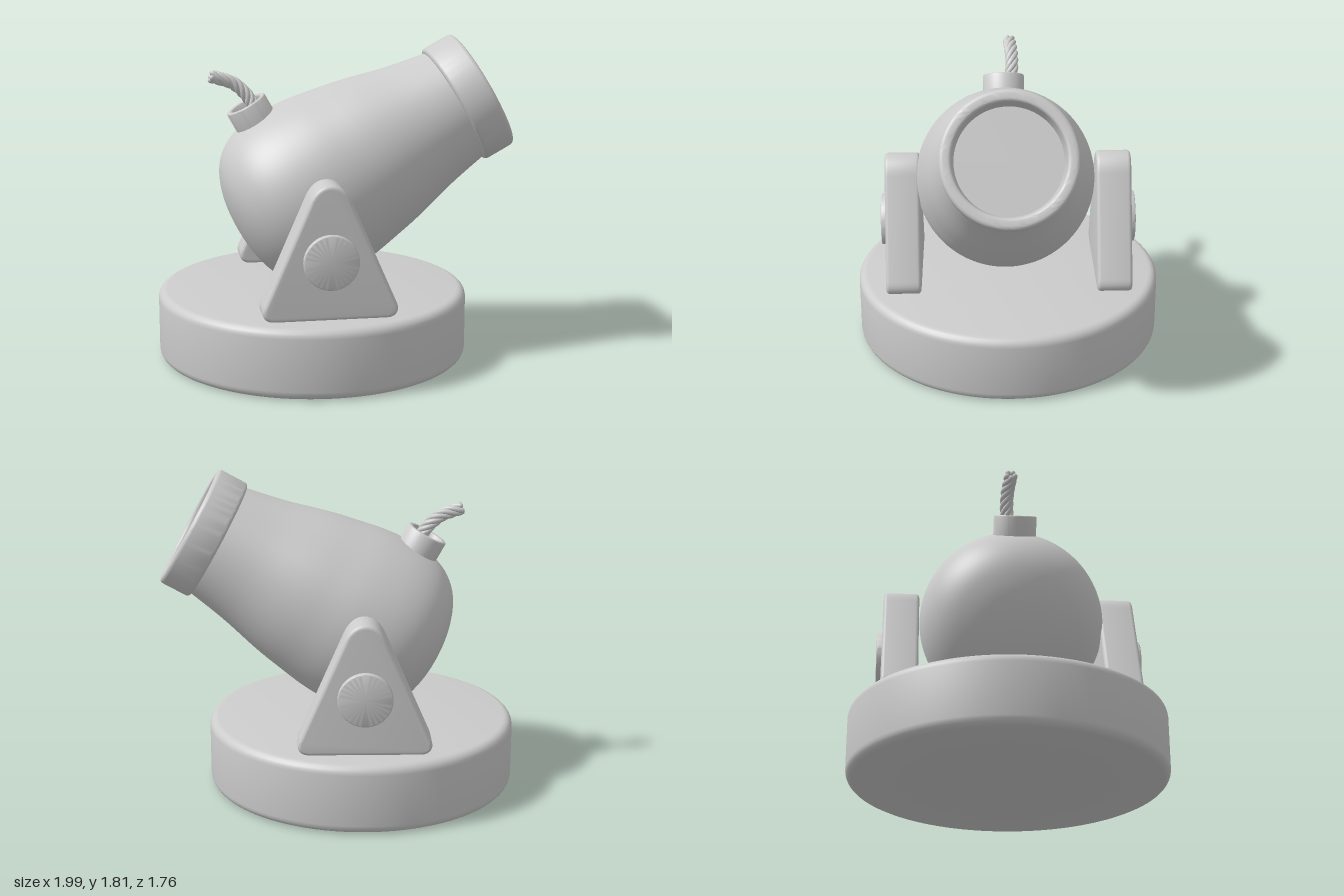
import * as THREE from 'three';
import { toCreasedNormals } from 'three/addons/utils/BufferGeometryUtils.js';

const YAW = -20 * Math.PI / 180;
const PITCH = 29.1 * Math.PI / 180;
const material = new THREE.MeshStandardMaterial({ color: 0xcccccc, roughness: 0.7 });

function addMesh(parent, name, geometry) {
  const mesh = new THREE.Mesh(geometry, material);
  mesh.name = name;
  parent.add(mesh);
  return mesh;
}

// Profile points on a quarter circle, for rounded edges
function corner(cx, cy, r, from, to, steps = 5) {
  return Array.from({ length: steps + 1 }, (_, i) => {
    const a = THREE.MathUtils.degToRad(from + (to - from) * i / steps);
    return [cx + r * Math.cos(a), cy + r * Math.sin(a)];
  });
}

function lathe(points, segments = 80) {
  const profile = points.map(([x, y]) => new THREE.Vector2(x, y));
  return toCreasedNormals(new THREE.LatheGeometry(profile, segments), 0.6);
}

// Round-cornered triangular plate, bevelled on both faces
function supportGeometry() {
  const s = new THREE.Shape();
  s.moveTo(-0.29, 0.405);
  s.lineTo(0.29, 0.405);
  s.quadraticCurveTo(0.368, 0.405, 0.335, 0.47);
  s.lineTo(0.095, 1.02);
  s.quadraticCurveTo(0.06, 1.1, 0, 1.1);
  s.quadraticCurveTo(-0.06, 1.1, -0.095, 1.02);
  s.lineTo(-0.335, 0.47);
  s.quadraticCurveTo(-0.368, 0.405, -0.29, 0.405);
  const g = new THREE.ExtrudeGeometry(s, {
    depth: 0.16, bevelSize: 0.02, bevelThickness: 0.02, bevelSegments: 4, curveSegments: 10,
  });
  g.translate(0, 0, -0.08);
  return toCreasedNormals(g, 0.6);
}

// One strand winding around a guide curve
class Strand extends THREE.Curve {
  constructor(guide, phase, offset, turns) {
    super();
    Object.assign(this, { guide, phase, offset, turns });
  }
  getPoint(t, target = new THREE.Vector3()) {
    const tangent = this.guide.getTangent(t);
    const u = new THREE.Vector3(0, 0, 1).cross(tangent).normalize();
    const v = new THREE.Vector3().crossVectors(tangent, u);
    const a = this.phase + t * this.turns * Math.PI * 2;
    return target.copy(this.guide.getPoint(t))
      .addScaledVector(u, this.offset * Math.cos(a))
      .addScaledVector(v, this.offset * Math.sin(a));
  }
}

export function createModel() {
  const model = new THREE.Group();
  model.name = 'mortarCannon';

  // Round base
  const base = addMesh(model, 'base', lathe([
    [0, 0], ...corner(0.83, 0.05, 0.05, -90, 0), ...corner(0.83, 0.34, 0.05, 0, 90), [0, 0.39],
  ], 112));
  base.position.x = -0.12;

  // Everything above the base is turned together
  const turret = new THREE.Group();
  turret.name = 'turret';
  turret.position.x = -0.12;
  turret.rotation.y = YAW;
  model.add(turret);

  // Mirrored supports with round bolt caps
  const plate = supportGeometry();
  const cap = lathe([[0.15, -0.05], ...corner(0.142, 0.022, 0.008, 0, 90, 4), [0, 0.03]], 56);
  for (const side of [1, -1]) {
    const label = side > 0 ? 'front' : 'back';
    addMesh(turret, label + 'Support', plate).position.z = side * 0.605;
    const bolt = addMesh(turret, label + 'BoltCap', cap);
    bolt.position.set(0, 0.71, side * 0.705);
    bolt.rotation.x = side * Math.PI / 2;
  }

  // Barrel group, with its axis along local y
  const barrel = new THREE.Group();
  barrel.name = 'barrelAssembly';
  barrel.position.set(0, 0.965, 0.015);
  barrel.rotation.z = PITCH - Math.PI / 2;
  turret.add(barrel);

  const outline = new THREE.SplineCurve([
    [0, -0.485], [0.13, -0.476], [0.25, -0.45], [0.36, -0.4], [0.44, -0.325], [0.493, -0.22],
    [0.515, -0.08], [0.508, 0.1], [0.478, 0.28], [0.444, 0.45], [0.38, 0.7], [0.332, 0.95],
  ].map(([x, y]) => new THREE.Vector2(x, y)));
  const body = outline.getPoints(60);
  body[0].x = 0;
  addMesh(barrel, 'barrel', new THREE.LatheGeometry(body, 96));

  // Muzzle ring with a shallow bore
  addMesh(barrel, 'muzzleRing', lathe([
    [0.3, 0.926], ...corner(0.337, 0.949, 0.023, -90, 0), ...corner(0.337, 1.093, 0.023, 0, 90),
    ...corner(0.313, 1.098, 0.018, 90, 180), [0.285, 0.985], [0, 0.985],
  ], 96));

  // Hollow fuse socket
  const socket = addMesh(barrel, 'fuseSocket', lathe([
    [0.12, 0.44], ...corner(0.112, 0.602, 0.008, 0, 90, 4),
    ...corner(0.098, 0.602, 0.008, 90, 180, 4), [0.09, 0.545], [0, 0.545],
  ], 48));
  socket.position.y = -0.09;
  socket.rotation.z = Math.PI / 2;

  // Twisted rope fuse
  const guide = new THREE.CatmullRomCurve3([
    [-0.405, 1.38, -0.115], [-0.437, 1.475, -0.148], [-0.515, 1.56, -0.18], [-0.635, 1.605, -0.213],
  ].map(p => new THREE.Vector3(...p)));
  const fuse = new THREE.Group();
  fuse.name = 'fuse';
  model.add(fuse);
  const strands = 5;
  for (let i = 0; i < strands; i++) {
    const path = new Strand(guide, i / strands * Math.PI * 2, 0.023, 1.6);
    addMesh(fuse, 'fuseStrand', new THREE.TubeGeometry(path, 48, 0.0155, 10));
    // Rounded strand tip
    const tip = addMesh(fuse, 'fuseStrandTip', new THREE.SphereGeometry(0.0155, 10, 8));
    path.getPoint(1, tip.position);
  }
  return model;
}
